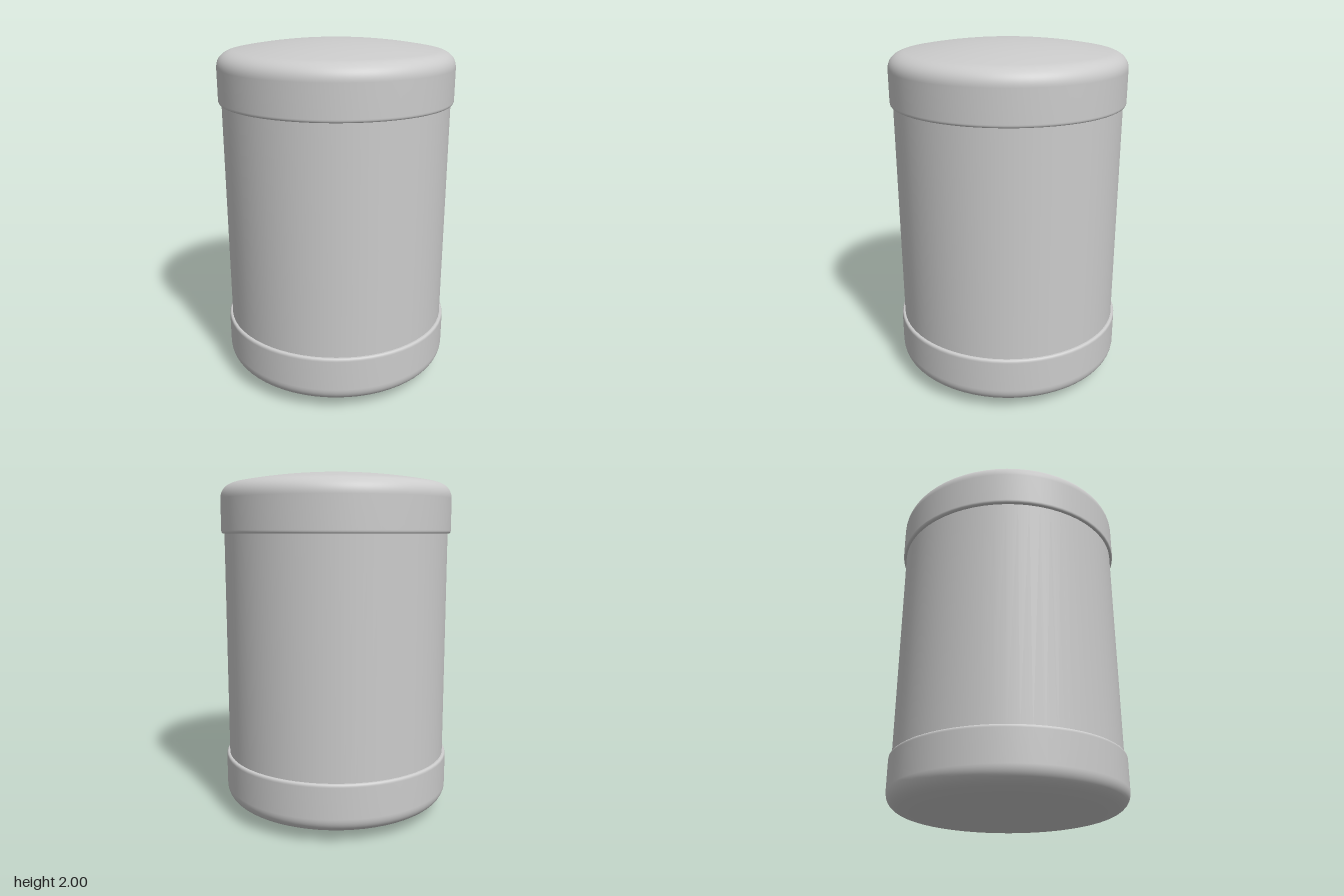
import * as THREE from 'three';

const SEGMENTS = 64;
const v = (x, y) => new THREE.Vector2(x, y);

// Cap outline, from the rim beside the body up to the centre of the dome
function capProfile() {
  const rim = new THREE.CubicBezierCurve(v(0.66, 1.654), v(0.668, 1.654), v(0.673, 1.66), v(0.673, 1.672));
  const shoulder = new THREE.CubicBezierCurve(v(0.673, 1.85), v(0.673, 1.905), v(0.635, 1.935), v(0.58, 1.945));
  const points = [v(0.645, 1.654), ...rim.getPoints(5), ...shoulder.getPoints(12)];
  // Shallow dome
  const steps = 10;
  for (let i = 1; i <= steps; i++) {
    const r = 0.58 * (1 - i / steps);
    points.push(v(r, 2 - 0.055 * (r / 0.58) ** 2));
  }
  return points;
}

export function createModel() {
  const group = new THREE.Group();
  const material = new THREE.MeshStandardMaterial({ color: 0xcccccc });

  // Straight body, its open ends hidden inside the caps
  const body = new THREE.Mesh(
    new THREE.CylinderGeometry(0.655, 0.655, 1.4, SEGMENTS, 1, true),
    new THREE.MeshStandardMaterial({ color: 0xcccccc, side: THREE.DoubleSide })
  );
  body.name = 'body';
  body.position.y = 1;
  group.add(body);

  // Domed cap at the top, and the same cap turned over at the bottom
  const capGeometry = new THREE.LatheGeometry(capProfile(), SEGMENTS);
  const topCap = new THREE.Mesh(capGeometry, material);
  topCap.name = 'topCap';
  const bottomCap = new THREE.Mesh(capGeometry, material);
  bottomCap.name = 'bottomCap';
  bottomCap.rotation.x = Math.PI;
  bottomCap.position.y = 2;
  group.add(topCap, bottomCap);

  return group;
}
